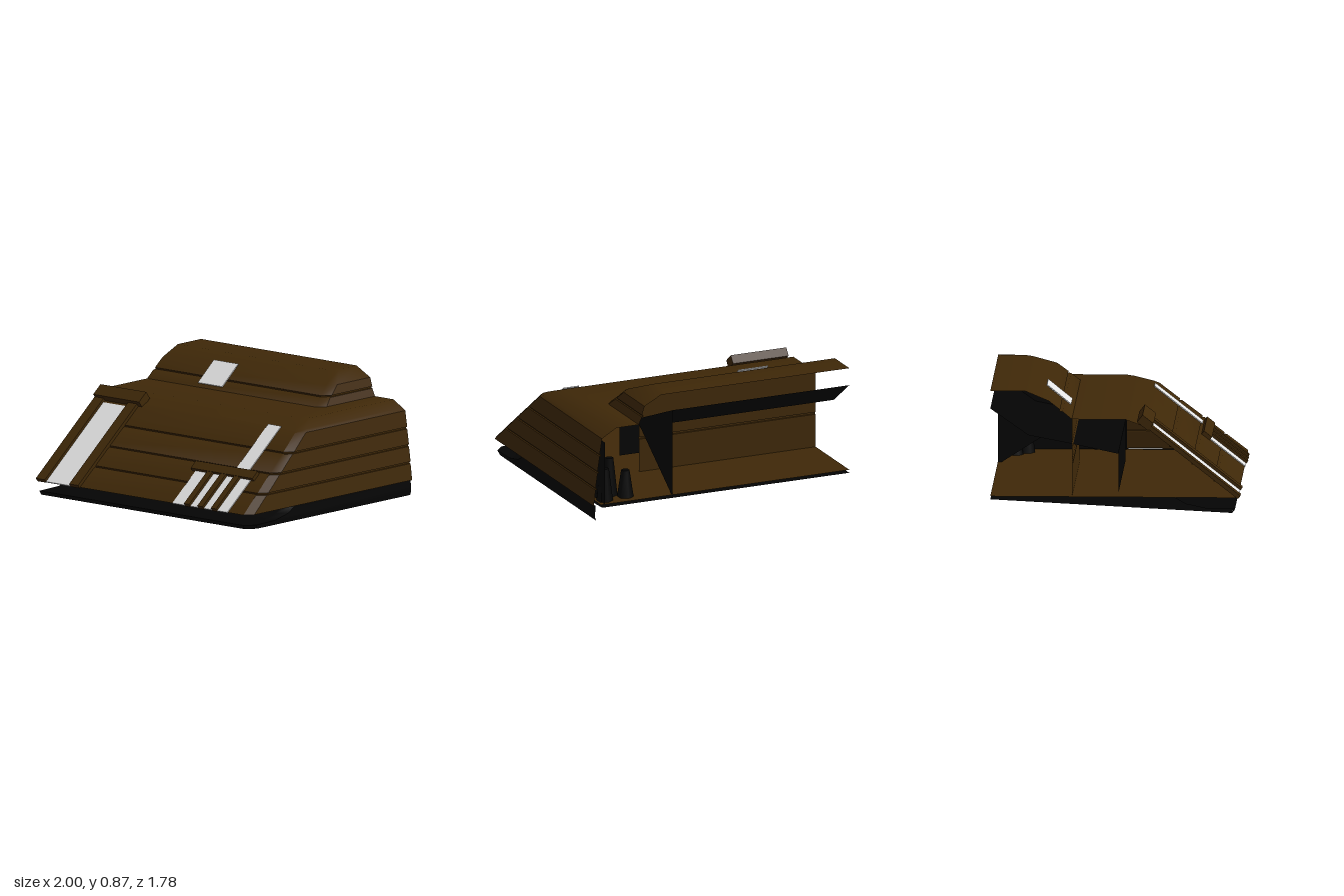
import * as THREE from 'three';
import { toCreasedNormals } from 'three/addons/utils/BufferGeometryUtils.js';

const BACK = -0.89;
const LEFT = -1;

// Sheet through levels [y, frontZ, sideX]: front face, bevelled corner, right face.
function tierGeometry(levels, cx = 0.05, cz = 0.06) {
  const row = ([y, z, x]) => [
    [LEFT, y, z], [x - cx, y, z], [x, y, Math.max(z - cz, BACK)], [x, y, BACK],
  ];
  const pos = [];
  for (let i = 0; i < levels.length - 1; i++) {
    const lo = row(levels[i]), hi = row(levels[i + 1]);
    for (let j = 0; j < 3; j++) {
      pos.push(...lo[j], ...lo[j + 1], ...hi[j + 1], ...lo[j], ...hi[j + 1], ...hi[j]);
    }
  }
  const g = new THREE.BufferGeometry();
  g.setAttribute('position', new THREE.Float32BufferAttribute(pos, 3));
  return toCreasedNormals(g, 0.6);
}

// Four levels forming a shallow groove around the wall
function groove(y, z, x) {
  const h = 0.007, d = 0.014, slope = 1.27;
  return [
    [y - h, z + h * slope, x], [y - h + 0.002, z - d, x - 0.01],
    [y + h - 0.002, z - d, x - 0.01], [y + h, z - h * slope, x],
  ];
}

// Sheet between two x positions along a (z, y) profile
function profileSheet(points, x0, x1) {
  const pos = [];
  for (let i = 0; i < points.length - 1; i++) {
    const [z0, y0] = points[i], [z1, y1] = points[i + 1];
    pos.push(x0, y0, z0, x1, y0, z0, x1, y1, z1, x0, y0, z0, x1, y1, z1, x0, y1, z1);
  }
  const g = new THREE.BufferGeometry();
  g.setAttribute('position', new THREE.Float32BufferAttribute(pos, 3));
  g.computeVertexNormals();
  return g;
}

export function createModel() {
  const model = new THREE.Group();
  const wallMat = new THREE.MeshStandardMaterial({ color: 0x3f2808, side: THREE.DoubleSide });
  wallMat.name = 'brown wall';
  const rockMat = new THREE.MeshStandardMaterial({ color: 0x040404, side: THREE.DoubleSide });
  rockMat.name = 'black rock';
  const windowMat = new THREE.MeshStandardMaterial({ color: 0xe6e6e6 });
  windowMat.name = 'pale window';

  const add = (parent, name, geo, mat) => {
    const m = new THREE.Mesh(geo, mat);
    m.name = name;
    parent.add(m);
    return m;
  };

  // Lower and upper stepped shells, open at the back and left
  add(model, 'lowerTier', tierGeometry([
    [0.115, 0.87, 0.997],
    ...groove(0.24, 0.71, 0.982),
    ...groove(0.362, 0.555, 0.967),
    ...groove(0.487, 0.395, 0.95),
    [0.61, 0.24, 0.932], [0.627, 0.206, 0.905], [0.677, 0.07, 0.82], [0.677, -0.31, 0.645],
  ]), wallMat);
  add(model, 'upperTier', tierGeometry([
    [0.677, -0.31, 0.645],
    ...groove(0.738, -0.385, 0.62),
    [0.808, -0.475, 0.6], [0.877, -0.64, 0.47], [0.877, BACK, 0.47],
  ]), wallMat);

  // Inner floor and the wall under the edge of the upper tier
  add(model, 'floor', profileSheet([[0.86, 0.117], [BACK, 0.117]], LEFT, 0.94), wallMat);
  add(model, 'innerWall', profileSheet([
    [-0.31, 0.117], [-0.31, 0.36], [-0.3, 0.362], [-0.3, 0.374], [-0.31, 0.376],
    [-0.31, 0.484], [-0.3, 0.486], [-0.3, 0.498], [-0.31, 0.5], [-0.31, 0.677],
  ], LEFT, 0.38), wallMat);

  // Rock base: apron rising from the ground, and a ramped underside
  add(model, 'rockApron', tierGeometry([
    [0.005, 0.83, 0.978], [0.035, 0.85, 0.988], [0.04, 0.64, 0.988],
    [0.07, 0.5, 0.985], [0.116, 0.42, 0.982],
  ], 0.06, 0.07), rockMat);
  add(model, 'rockUnderside', profileSheet([[0.83, 0.008], [BACK, 0.095]], LEFT, 0.93), rockMat);

  // Dark interior: sloping ceiling, end wall, side lining and loose rocks
  add(model, 'innerCeiling', profileSheet([
    [BACK, 0.75], [-0.62, 0.56], [-0.31, 0.5], [0.02, 0.43], [0.02, 0.14],
  ], LEFT, 0.38), rockMat);
  const wedge = new THREE.Shape([
    new THREE.Vector2(0.89, 0.1), new THREE.Vector2(0.89, 0.75), new THREE.Vector2(0.27, 0.5),
  ]);
  const endWall = add(model, 'innerEndWall', new THREE.ShapeGeometry(wedge), rockMat);
  endWall.rotation.y = Math.PI / 2;
  endWall.position.x = 0.38;
  const lining = add(model, 'innerSideLining', new THREE.PlaneGeometry(0.9, 0.46).rotateY(-Math.PI / 2), rockMat);
  lining.position.set(0.91, 0.35, -0.44);
  for (const [x, z, h] of [[0.7, -0.78, 0.2], [0.79, -0.7, 0.28], [0.87, -0.8, 0.24]]) {
    const rock = add(model, 'innerRock', new THREE.CylinderGeometry(0.03, 0.06, h, 6), rockMat);
    rock.position.set(x, 0.115 + h / 2, z);
  }

  // Plane of the front slope: local y runs up the slope, z points outward
  const onSlope = (name, y, z, angle) => {
    const g = new THREE.Group();
    g.name = name;
    g.position.set(0, y, z);
    g.rotation.x = angle;
    model.add(g);
    return g;
  };
  const box = (parent, name, x0, x1, y0, y1, z0, z1, mat) => {
    const m = add(parent, name, new THREE.BoxGeometry(x1 - x0, y1 - y0, z1 - z0), mat);
    m.position.set((x0 + x1) / 2, (y0 + y1) / 2, (z0 + z1) / 2);
  };
  const slope = onSlope('frontSlope', 0.115, 0.87, -0.905);
  const pane = (parent, name, x0, x1, y0, y1) =>
    box(parent, name, x0, x1, y0, y1, -0.001, 0.006, windowMat);

  // Large doorway
  box(slope, 'doorWindow', -0.915, -0.685, -0.004, 0.78, -0.004, 0.005, windowMat);
  for (const [a, b] of [[-1, -0.915], [-0.685, -0.6]]) {
    box(slope, 'doorPost', a, b, -0.005, 0.83, -0.005, 0.025, wallMat);
  }
  box(slope, 'doorLintel', -1, -0.567, 0.8, 0.9, -0.015, 0.05, wallMat);

  // Row of small openings with posts and lintel
  for (const [a, b] of [[0.28, 0.4], [0.445, 0.53], [0.575, 0.657], [0.705, 0.8]]) {
    pane(slope, 'smallWindow', a, b, -0.004, 0.325);
  }
  for (const x of [0.4, 0.527, 0.655]) {
    box(slope, 'smallPost', x, x + 0.05, -0.005, 0.33, -0.005, 0.025, wallMat);
  }
  box(slope, 'smallLintel', 0.245, 0.83, 0.315, 0.388, -0.005, 0.028, wallMat);

  // Tall window above, and window of the upper tier
  pane(slope, 'tallWindow', 0.608, 0.73, 0.4, 0.835);
  const upperSlope = onSlope('upperSlope', 0.7, -0.335, -0.89);
  pane(upperSlope, 'upperWindow', -0.54, -0.31, 0, 0.222);

  return model;
}
